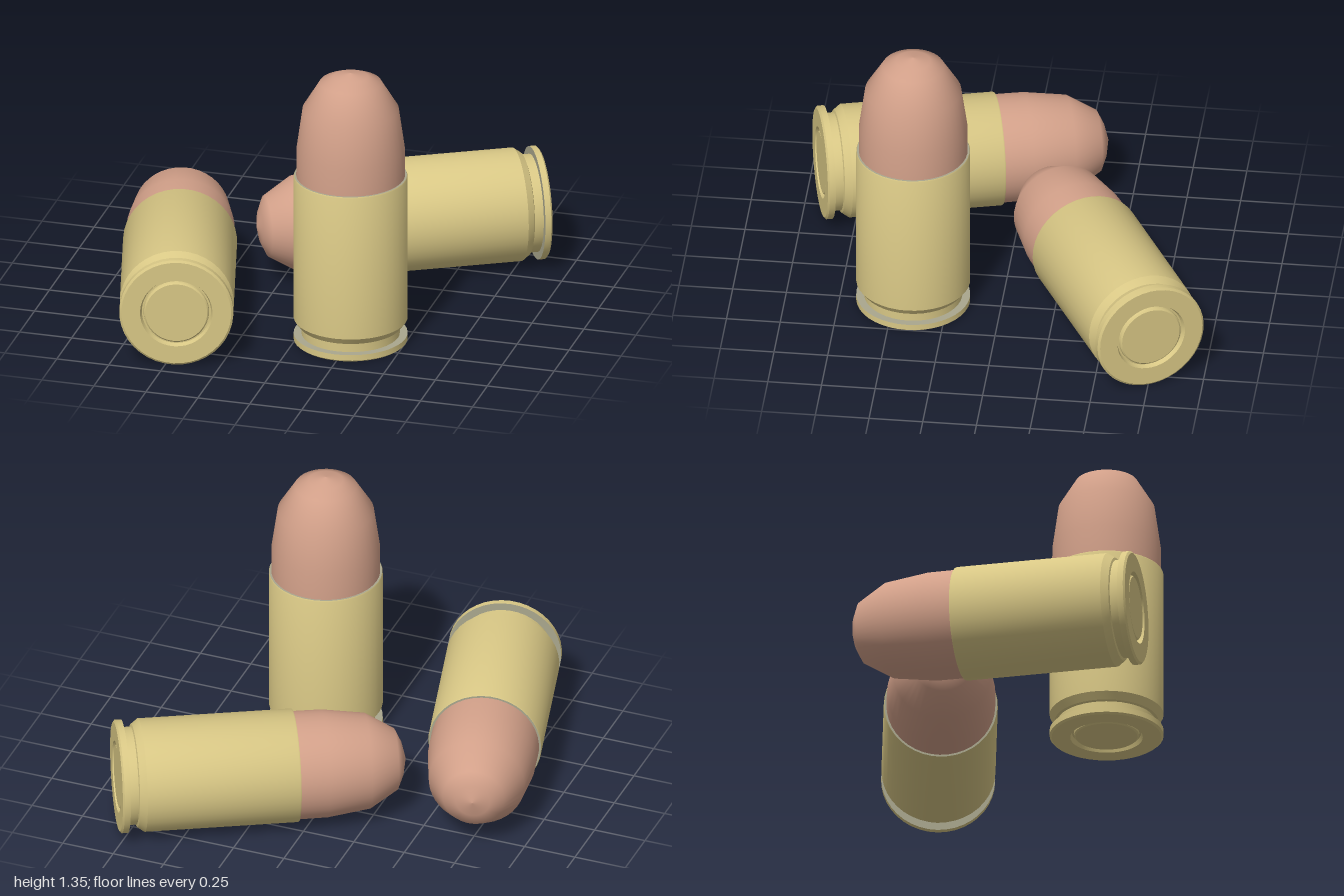
import * as THREE from 'three';
import { toCreasedNormals } from 'three/addons/utils/BufferGeometryUtils.js';

const SIDES = 40;

const brass = new THREE.MeshStandardMaterial({ color: 0xd8c785 });
brass.name = 'brass';
const copper = new THREE.MeshStandardMaterial({ color: 0xd2a089 });
copper.name = 'copper';
const dullEdge = new THREE.MeshStandardMaterial({ color: 0xaaa78e });
dullEdge.name = 'dull edge';

// Turned part from [radius, height] pairs, listed from the base upward
function turned(name, profile, material, creased = true) {
  const points = profile.map(([r, y]) => new THREE.Vector2(r, y));
  let geometry = new THREE.LatheGeometry(points, SIDES);
  if (creased) geometry = toCreasedNormals(geometry, 0.5);
  const mesh = new THREE.Mesh(geometry, material);
  mesh.name = name;
  return mesh;
}

// One cartridge, base at the origin and tip along +y
function createCartridge(name) {
  const group = new THREE.Group();
  group.name = name;
  group.add(
    // flat primer, ring groove around it, and the rim
    turned('primer', [[0, 0.004], [0.143, 0.004], [0.15, 0.01], [0.152, 0.022]], brass),
    turned('baseAndRim', [
      [0.152, 0.022], [0.16, 0.022], [0.168, 0], [0.254, 0], [0.264, 0.008], [0.264, 0.036],
    ], brass),
    turned('rimTop', [[0.264, 0.036], [0.228, 0.036]], dullEdge),
    // extractor groove, shoulder and straight wall
    turned('caseBody', [
      [0.228, 0.036], [0.228, 0.078], [0.24, 0.082], [0.264, 0.115], [0.264, 0.826], [0.261, 0.832],
    ], brass),
    turned('caseMouth', [[0.261, 0.832], [0.25, 0.832]], dullEdge),
    turned('bullet', [
      [0.252, 0.81], [0.251, 0.967], [0.223, 1.167], [0.143, 1.3], [0.08, 1.329], [0, 1.347],
    ], copper, false),
  );
  return group;
}

export function createModel() {
  const model = new THREE.Group();
  model.name = 'cartridges';
  const up = new THREE.Vector3(0, 1, 0);
  // name, centre of the base, direction of the tip
  const layout = [
    ['standingCartridge', [0.245, 0, 0.41], [0, 1, 0]],
    ['rightLyingCartridge', [-0.447, 0.266, 0.923], [-0.255, 0, -0.967]],
    ['leftLyingCartridge', [0.825, 0.266, -0.765], [-0.882, 0, 0.471]],
  ];
  for (const [name, base, tip] of layout) {
    const cartridge = createCartridge(name);
    cartridge.position.set(...base);
    cartridge.quaternion.setFromUnitVectors(up, new THREE.Vector3(...tip).normalize());
    model.add(cartridge);
  }
  return model;
}
